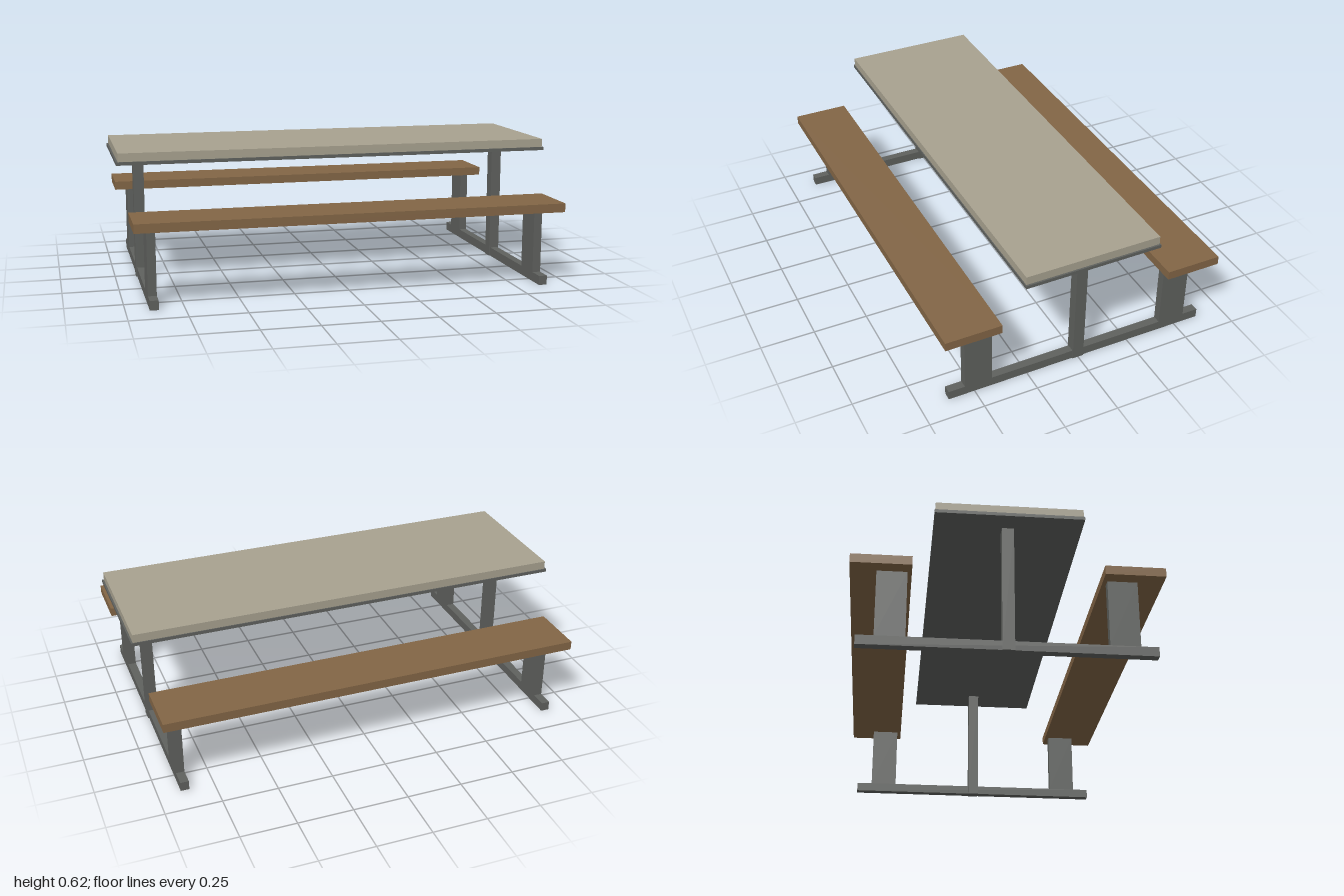
import * as THREE from 'three';

export function createModel() {
  const model = new THREE.Group();
  const stone = new THREE.MeshStandardMaterial({ color: 0xa8a290 });
  const wood = new THREE.MeshStandardMaterial({ color: 0x836646 });
  const steel = new THREE.MeshStandardMaterial({ color: 0x5f615e });
  stone.name = 'stone';
  wood.name = 'wood';
  steel.name = 'steel';

  // Box of width w and depth d, standing between heights y0 and y1
  function box(parent, name, material, w, d, y0, y1, x = 0, z = 0) {
    const mesh = new THREE.Mesh(new THREE.BoxGeometry(w, y1 - y0, d), material);
    mesh.position.set(x, (y0 + y1) / 2, z);
    mesh.name = name;
    parent.add(mesh);
  }

  // Table top on its slightly larger backing plate
  box(model, 'tableTop', stone, 1.984, 0.622, 0.587, 0.625);
  box(model, 'backingPlate', steel, 2, 0.63, 0.572, 0.587);

  // Bench seats, front and back
  for (const side of [1, -1]) {
    box(model, side > 0 ? 'frontSeat' : 'backSeat', wood, 1.92, 0.256, 0.34, 0.38, 0, side * 0.527);
  }

  // End frames: floor rail, table post and two seat posts
  for (const side of [1, -1]) {
    const frame = new THREE.Group();
    frame.name = side > 0 ? 'leftFrame' : 'rightFrame';
    frame.position.x = side * 0.88;
    box(frame, 'floorRail', steel, 0.038, 1.24, 0, 0.042);
    box(frame, 'tablePost', steel, 0.048, 0.052, 0, 0.572);
    box(frame, 'frontSeatPost', steel, 0.038, 0.128, 0.042, 0.34, 0, 0.481);
    box(frame, 'backSeatPost', steel, 0.038, 0.128, 0.042, 0.34, 0, -0.481);
    model.add(frame);
  }
  return model;
}
